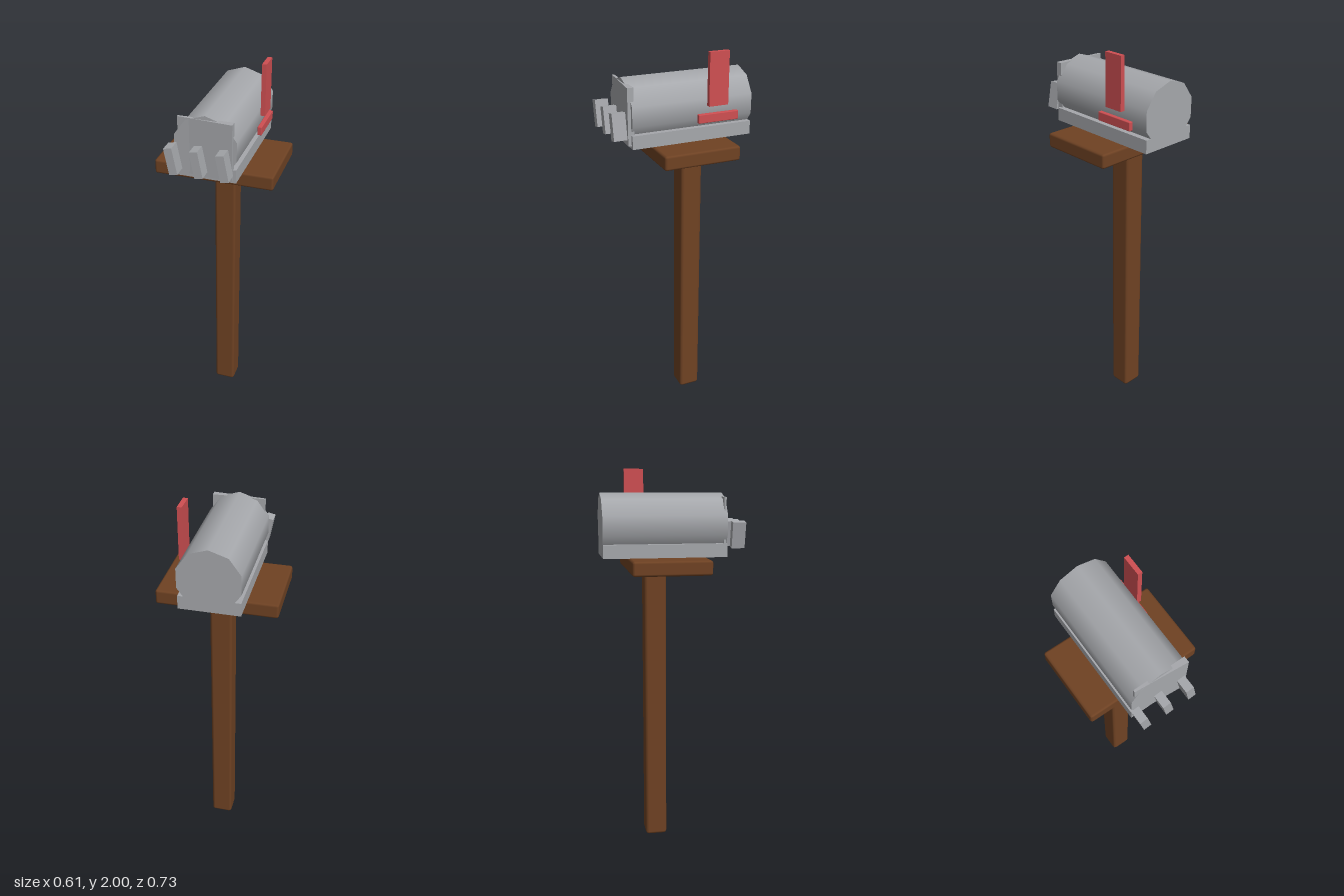
import * as THREE from 'three';
import { RoundedBoxGeometry } from 'three/addons/geometries/RoundedBoxGeometry.js';

const mat = (name, color) => {
  const m = new THREE.MeshStandardMaterial({ color });
  m.name = name;
  return m;
};

export function createModel() {
  const wood = mat('brown wood', 0x6f4223);
  const metal = mat('grey metal', 0xa6a8ac);
  const red = mat('flag red', 0xcf4f52);
  const group = new THREE.Group();

  const add = (name, geometry, material) => {
    const mesh = new THREE.Mesh(geometry, material);
    mesh.name = name;
    group.add(mesh);
    return mesh;
  };
  // Box given by its lower and upper corners, optionally with softened edges
  const box = (name, a, b, material, radius = 0) => {
    const s = b.map((v, i) => v - a[i]);
    const g = radius ? new RoundedBoxGeometry(...s, 1, radius) : new THREE.BoxGeometry(...s);
    g.translate(...a.map((v, i) => (v + b[i]) / 2));
    return add(name, g, material);
  };
  // Move vertices by a rule
  const bend = (mesh, rule) => {
    const p = mesh.geometry.attributes.position;
    const v = new THREE.Vector3();
    for (let i = 0; i < p.count; i++) {
      rule(v.fromBufferAttribute(p, i));
      p.setXYZ(i, v.x, v.y, v.z);
    }
    mesh.geometry.computeVertexNormals();
  };

  // Wooden stand
  box('post', [-0.058, 0, -0.143], [0.056, 1.5, -0.028], wood, 0.015);
  box('shelf', [-0.304, 1.485, -0.233], [0.303, 1.56, 0.167], wood, 0.012);

  // Ten-sided barrel with a ridge on top, on a flat base
  const barrel = new THREE.CylinderGeometry(0.16, 0.16, 0.635, 10);
  barrel.rotateX(Math.PI / 2).rotateZ(Math.PI / 2 * 2);
  const p = barrel.attributes.position;
  let top = 0;
  for (let i = 0; i < p.count; i++) top = Math.max(top, p.getY(i));
  if (top < 0.159) barrel.rotateZ(Math.PI / 10);
  barrel.translate(0, 1.72, -0.045);
  add('barrel', barrel, metal);
  box('base', [-0.152, 1.56, -0.362], [0.15, 1.628, 0.272], metal);

  // Square door, slightly ajar on one side
  const door = box('door', [-0.135, 1.575, 0.257], [0.135, 1.86, 0.268], metal);
  bend(door, (v) => { if (v.x > 0 && v.z > 0.26) v.z = 0.289; });

  // Three leaning tabs in front of the door
  for (const x of [-0.139, -0.015, 0.11]) {
    const tab = box('doorTab', [x - 0.02, 1.607, 0.295], [x + 0.02, 1.738, 0.363], metal);
    bend(tab, (v) => {
      const side = Math.sign(v.x - x);
      v.x -= (v.y - 1.6725) * 0.19;
      v.y += side * 0.004;
    });
  }

  // Signal flag and its pivot bar
  box('flag', [0.155, 1.736, -0.22], [0.178, 2, -0.117], red);
  box('flagPivot', [0.155, 1.655, -0.278], [0.178, 1.7, -0.063], red, 0.004);

  return group;
}
